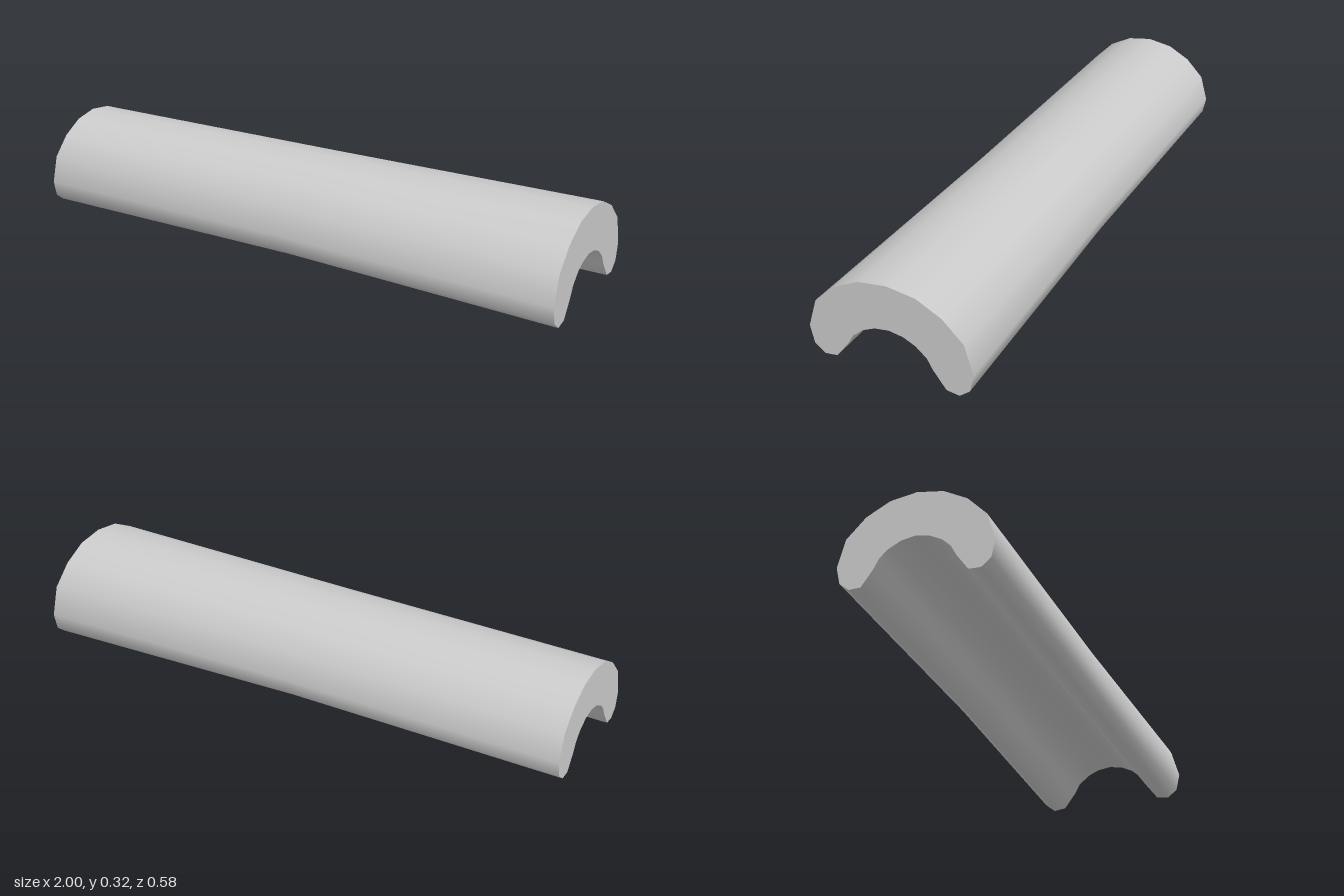
import * as THREE from 'three';

// Half cross-sections as [z, y], from the outer crown round the lip to the inner crown
const wideEnd = [
  [0, 0.324], [0.1, 0.31], [0.188, 0.265], [0.26, 0.195], [0.29, 0.093], [0.276, 0.031], [0.24, 0.002],
  [0.195, 0.008], [0.15, 0.068], [0.131, 0.103], [0.093, 0.136], [0.05, 0.156], [0, 0.164],
];
const middle = [
  [0, 0.317], [0.091, 0.303], [0.171, 0.261], [0.235, 0.194], [0.26, 0.1], [0.248, 0.044], [0.215, 0.019],
  [0.176, 0.021], [0.137, 0.071], [0.117, 0.107], [0.087, 0.134], [0.046, 0.155], [0, 0.163],
];
const narrowEnd = [
  [0, 0.312], [0.087, 0.298], [0.164, 0.257], [0.227, 0.192], [0.253, 0.1], [0.241, 0.044], [0.21, 0.018],
  [0.171, 0.019], [0.134, 0.07], [0.114, 0.107], [0.086, 0.133], [0.045, 0.154], [0, 0.162],
];

// Mirrors a half section across z = 0 into a closed ring
const closeRing = (half) => [...half, ...half.slice(1, -1).reverse().map(([z, y]) => [-z, y])];

function makeGeometry(positions, index) {
  const geometry = new THREE.BufferGeometry();
  geometry.setAttribute('position', new THREE.Float32BufferAttribute(positions, 3));
  geometry.setIndex(index);
  geometry.computeVertexNormals();
  return geometry;
}

// Smooth skin joining the rings along x
function skin(sections) {
  const n = sections[0].ring.length;
  const positions = sections.flatMap(({ x, ring }) => ring.flatMap(([z, y]) => [x, y, z]));
  const index = [];
  for (let s = 0; s < sections.length - 1; s++) {
    for (let i = 0; i < n; i++) {
      const a = s * n + i;
      const b = s * n + ((i + 1) % n);
      index.push(a, b, b + n, a, b + n, a + n);
    }
  }
  return makeGeometry(positions, index);
}

// Flat end face
function cap({ x, ring }) {
  const contour = ring.map(([z, y]) => new THREE.Vector2(-z, y));
  const faces = THREE.ShapeUtils.triangulateShape(contour, []);
  const index = faces.flatMap(([a, b, c]) => (x > 0 ? [a, b, c] : [a, c, b]));
  return makeGeometry(ring.flatMap(([z, y]) => [x, y, z]), index);
}

export function createModel() {
  const group = new THREE.Group();
  group.name = 'halfPipeHandguard';
  const material = new THREE.MeshStandardMaterial({ color: 0xcccccc });
  const add = (name, geometry) => {
    const mesh = new THREE.Mesh(geometry, material);
    mesh.name = name;
    group.add(mesh);
  };

  const sections = [
    { x: -1, ring: closeRing(narrowEnd) },
    { x: 0, ring: closeRing(middle) },
    { x: 1, ring: closeRing(wideEnd) },
  ];
  add('channelShell', skin(sections));
  add('narrowEndFace', cap(sections[0]));
  add('wideEndFace', cap(sections[2]));
  return group;
}
